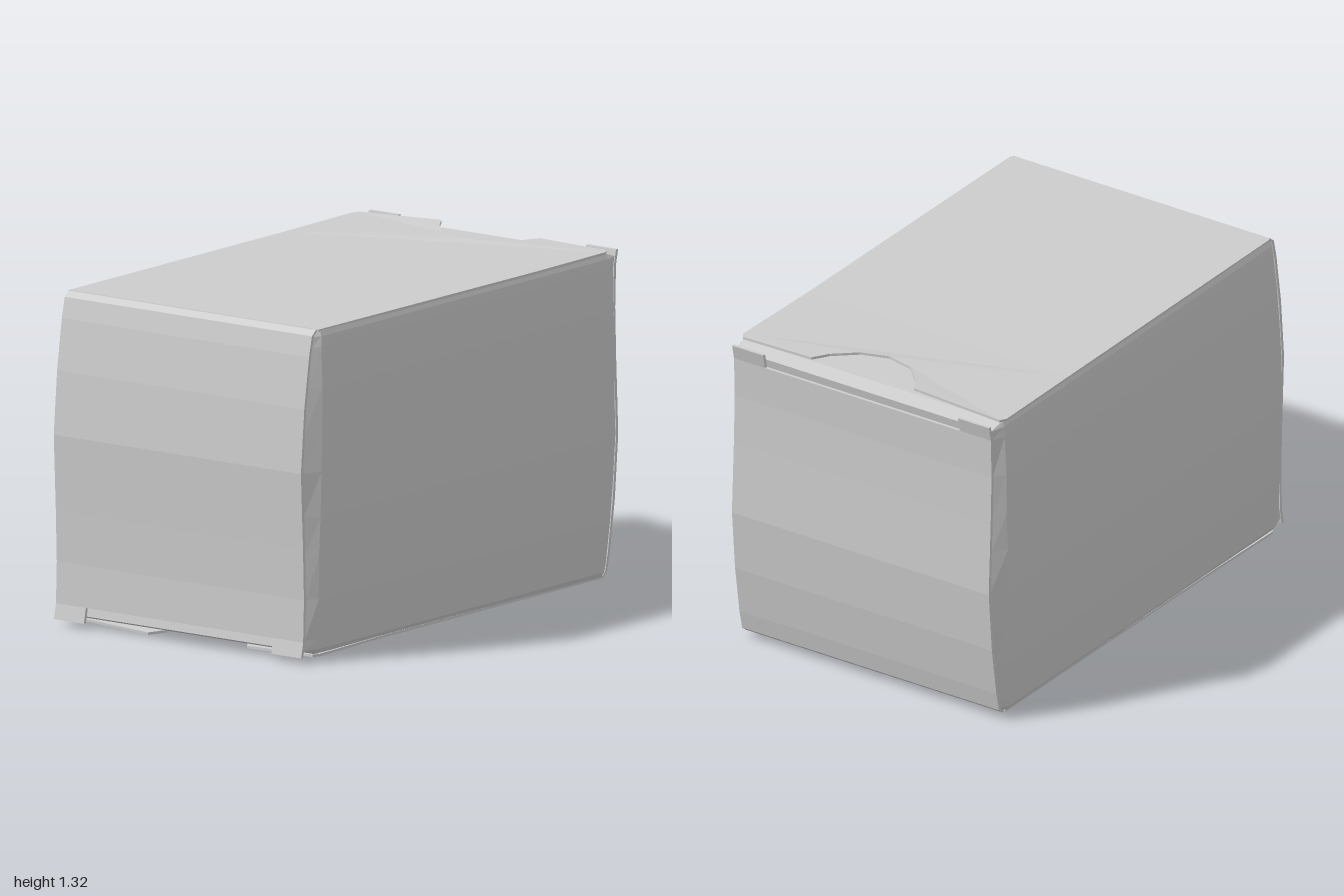
import * as THREE from 'three';

const H = 1.325; // overall height
const card = new THREE.MeshStandardMaterial({ color: 0xcccccc, flatShading: true, side: THREE.DoubleSide });
card.name = 'grey card';

function addMesh(parent, name, geometry) {
  const m = new THREE.Mesh(geometry, card);
  m.name = name;
  parent.add(m);
  return m;
}

// linear interpolation through [position, value] pairs
function lerpTable(table, p) {
  for (let i = 1; i < table.length; i++) {
    const [a, va] = table[i - 1], [b, vb] = table[i];
    if (p <= b) return va + (vb - va) * Math.max(0, (p - a) / (b - a));
  }
  return table[table.length - 1][1];
}

// bowed front panel: [height, outer depth]
const bow = [[0.025, 0.998], [0.085, 0.985], [0.25, 0.98], [0.45, 0.986], [0.75, 0.999],
  [1.0, 0.978], [1.2, 0.948], [1.28, 0.93], [1.3, 0.905]];
const halfWidth = [[0.03, 0.605], [0.05, 0.617], [0.2, 0.628], [0.6, 0.639], [0.75, 0.639],
  [1.1, 0.631], [1.27, 0.617], [1.295, 0.605]];
const wallEdge = [[0.03, 0.91], [0.06, 0.92], [0.4, 0.93], [0.75, 0.92], [1.25, 0.895], [1.295, 0.885]];
const flapDepth = y => (y < 0.05 ? 0.92 : lerpTable(bow, y) - 0.014);

// carton body with side walls and tucked dust flaps, lofted upward
function bodyGeometry() {
  const levels = [0.03, 0.05, 0.09, 0.25, 0.42, 0.575, 0.75, 0.905, 1.075, 1.235, 1.275, 1.295];
  const pos = [], idx = [], n = 8;
  for (const y of levels) {
    const w = lerpTable(halfWidth, y), x = 0.597;
    const f = flapDepth(y), b = -flapDepth(H - y);
    const sf = Math.min(lerpTable(wallEdge, y), f), sb = -Math.min(lerpTable(wallEdge, H - y), -b);
    for (const [px, pz] of [[w, sb], [w, sf], [x, f], [-x, f], [-w, sf], [-w, sb], [-x, b], [x, b]]) {
      pos.push(px, y, pz);
    }
  }
  for (let r = 0; r < levels.length - 1; r++) {
    for (let i = 0; i < n; i++) {
      const a = r * n + i, b = r * n + (i + 1) % n;
      idx.push(a, a + n, b, b, a + n, b + n);
    }
  }
  const top = (levels.length - 1) * n;
  for (let i = 1; i < n - 1; i++) {
    idx.push(0, i, i + 1, top, top + i + 1, top + i);
  }
  const g = new THREE.BufferGeometry();
  g.setAttribute('position', new THREE.Float32BufferAttribute(pos, 3));
  g.setIndex(idx);
  g.computeVertexNormals();
  return g;
}

// thin bent sheet following the bow between two heights
function bentSheet(points, x0, x1) {
  const outline = [
    ...points.map(([y, z]) => new THREE.Vector2(z, y)),
    ...points.slice().reverse().map(([y, z]) => new THREE.Vector2(z - 0.013, y)),
  ];
  const g = new THREE.ExtrudeGeometry(new THREE.Shape(outline), { depth: x1 - x0, bevelEnabled: false });
  return g.rotateY(-Math.PI / 2).translate(x1, 0, 0);
}

// flat plate from a plan outline of [x, distance toward the back]
function plate(points, y, thickness) {
  const shape = new THREE.Shape(points.map(p => new THREE.Vector2(...p)));
  const g = new THREE.ExtrudeGeometry(shape, { depth: thickness, bevelEnabled: false });
  return g.rotateX(-Math.PI / 2).translate(0, y, 0);
}

// one top cover and its front panel; turned over it also serves bottom and back
function coverHalf(coverName, panelName) {
  const half = new THREE.Group();
  half.name = coverName + 'And' + panelName;

  addMesh(half, coverName, plate([[-0.605, -0.895], [0.605, -0.895], [0.61, 0.47], [-0.61, 0.47]], 1.291, 0.01));

  // rear of the cover lifts slightly and has a thumb notch
  const rear = plate([[-0.61, 0.47], [0.61, 0.47], [0.615, 0.9], [0.6, 0.925], [0.28, 0.925],
    [0.24, 0.86], [0.15, 0.78], [0.04, 0.745], [-0.08, 0.775], [-0.16, 0.86], [-0.2, 0.925],
    [-0.6, 0.925], [-0.615, 0.9]], 1.291, 0.01);
  const lift = [[-0.62, 0.002], [-0.2, 0.022], [0.28, 0.012], [0.62, 0.005]];
  const p = rear.attributes.position;
  for (let i = 0; i < p.count; i++) {
    const t = (-p.getZ(i) - 0.47) / 0.455;
    p.setY(i, p.getY(i) + t * lerpTable(lift, p.getX(i)));
  }
  rear.computeVertexNormals();
  addMesh(half, coverName + 'NotchedEdge', rear);

  // bowed panel with a corner tab on each side
  addMesh(half, panelName, bentSheet(bow.slice(1), -0.6, 0.6));
  for (const s of [-1, 1]) {
    addMesh(half, panelName + (s > 0 ? 'LeftTab' : 'RightTab'),
      bentSheet(bow.slice(0, 2), s > 0 ? 0.455 : -0.6, s > 0 ? 0.6 : -0.455));
  }
  return half;
}

export function createModel() {
  const model = new THREE.Group();
  model.name = 'carton';
  addMesh(model, 'cartonBody', bodyGeometry());
  model.add(coverHalf('topCover', 'frontPanel'));

  const under = coverHalf('bottomCover', 'backPanel');
  under.rotation.x = Math.PI;
  under.position.y = H;
  model.add(under);
  return model;
}
